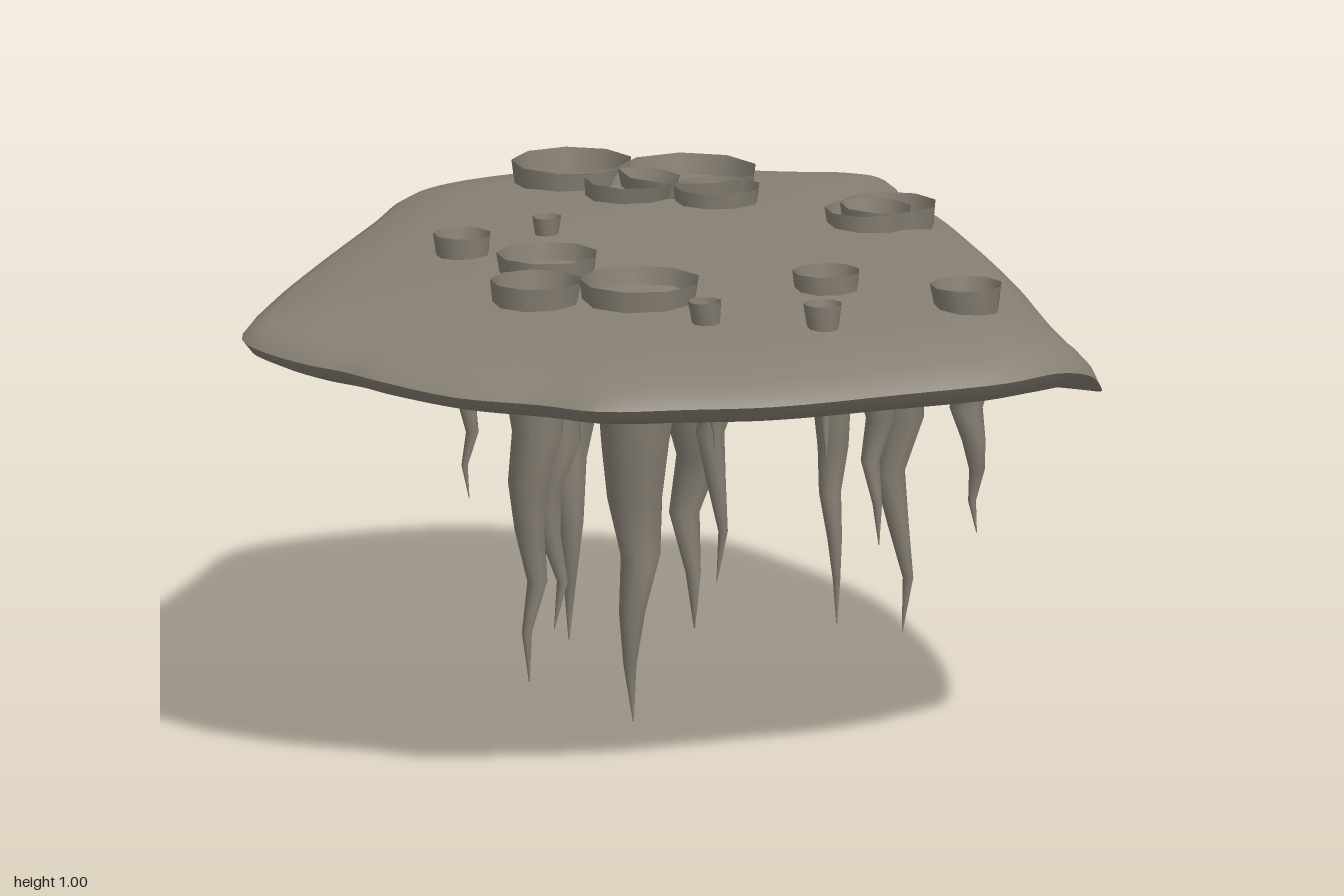
import * as THREE from 'three';

// Slab rim, clockwise from the back: x, z, height. The front left side is a low, sheared edge.
const RIM = [
  [0.2, -1, 0.87], [0.35, -1, 0.87], [0.61, -0.9, 0.87], [0.72, -0.82, 0.87], [0.78, -0.72, 0.87],
  [0.82, -0.62, 0.87], [0.9, -0.5, 0.87], [0.97, -0.41, 0.87], [0.985, -0.35, 0.86], [0.96, -0.2, 0.77],
  [0.9, 0, 0.71], [0.83, 0.15, 0.685], [0.7, 0.36, 0.685], [0.55, 0.58, 0.7], [0.4, 0.77, 0.74],
  [0.27, 0.91, 0.79], [0.18, 0.965, 0.84], [0.06, 0.99, 0.87], [-0.08, 0.975, 0.87], [-0.3, 0.89, 0.87],
  [-0.56, 0.78, 0.87], [-0.7, 0.67, 0.87], [-0.84, 0.55, 0.87], [-0.88, 0.42, 0.87], [-0.95, 0.25, 0.87],
  [-0.98, 0.05, 0.88], [-0.97, -0.05, 0.88], [-0.975, -0.15, 0.88], [-0.95, -0.3, 0.88], [-0.9, -0.4, 0.88],
  [-0.7, -0.53, 0.88], [-0.4, -0.69, 0.88], [0, -0.9, 0.87],
];

// Rings from rim to centre: scale, rise at a thin edge, rise over the sheared edge
const RINGS = [
  [1, 0, 0], [0.98, 0.27, 0.12], [0.94, 0.47, 0.32], [0.85, 0.68, 0.7], [0.78, 0.77, 0.87],
  [0.65, 0.88, 0.95], [0.35, 0.97, 0.99], [0, 1, 1],
];

// Stalactites: root x, root z, root radius, tip x, tip y, tip z
const SPIKES = [
  [0.35, -0.66, 0.125, 0.34, 0, -0.66], [0.32, -0.46, 0.1, 0.27, 0.48, -0.53],
  [0.46, -0.44, 0.145, 0.47, 0.04, -0.43], [0.39, -0.29, 0.09, 0.4, 0.17, -0.3],
  [-0.28, -0.37, 0.06, -0.28, 0.45, -0.35], [-0.05, -0.35, 0.03, -0.05, 0.77, -0.35],
  [-0.29, -0.12, 0.105, -0.29, 0.22, -0.1], [-0.48, 0.03, 0.095, -0.49, 0.16, 0.02],
  [-0.33, 0.18, 0.125, -0.35, 0.08, 0.18], [-0.38, 0.41, 0.035, -0.35, 0.68, 0.41],
  [-0.23, 0.6, 0.04, -0.23, 0.67, 0.61], [-0.01, 0.4, 0.07, 0, 0.26, 0.42],
  [0.1, 0.69, 0.075, 0.12, 0.48, 0.7], [0.46, 0.07, 0.09, 0.46, 0.3, 0.1],
  [0.52, 0.07, 0.1, 0.55, 0.1, 0.08],
];
const TAPER = [1, 0.86, 0.68, 0.56, 0.46, 0.33, 0.22, 0.11, 0.01];

// Joins equal loops of points into a smooth skin
function skin(loops, flip) {
  const n = loops[0].length, index = [];
  for (let r = 0; r < loops.length - 1; r++) {
    for (let i = 0; i < n; i++) {
      const a = r * n + i, b = r * n + (i + 1) % n, c = a + n, d = b + n;
      if (flip) index.push(a, b, c, b, d, c);
      else index.push(a, c, b, b, c, d);
    }
  }
  const geo = new THREE.BufferGeometry();
  geo.setAttribute('position', new THREE.Float32BufferAttribute(loops.flat(2), 3));
  geo.setIndex(index);
  geo.computeVertexNormals();
  return geo;
}

// Upper or lower face of the slab
function slabFace(rim, upper) {
  const loops = RINGS.map(([s, thin, sheared]) => rim.map((p) => {
    const w = THREE.MathUtils.clamp((0.87 - p.y) / 0.14, 0, 1);
    const x = p.x * s, z = p.z * s;
    const goal = upper ? 0.972 + 0.015 * x : 0.772 - 0.02 * x;
    const rise = THREE.MathUtils.lerp(thin, upper ? sheared : 1 - s, w);
    return [x, THREE.MathUtils.lerp(p.y, goal, rise), z];
  }));
  return skin(loops, !upper);
}

// Open-topped, slightly crooked tapering tube
function spike([x, z, r, tx, ty, tz], seed) {
  const top = 1.003, last = TAPER.length - 1;
  const loops = TAPER.map((k, j) => {
    const t = j / last;
    const sway = j > 2 && j < last ? 0.13 * r : 0;
    const cx = THREE.MathUtils.lerp(x, tx, t) + sway * Math.sin(seed * 2.3 + j * 1.9);
    const cz = THREE.MathUtils.lerp(z, tz, t) + sway * Math.cos(seed * 1.7 + j * 2.1);
    const y = THREE.MathUtils.lerp(top, ty, t);
    return Array.from({ length: 9 }, (_, i) => {
      const a = (i / 9) * Math.PI * 2;
      return [cx + Math.sin(a) * r * k, y, cz - Math.cos(a) * r * k];
    });
  });
  return skin(loops, true);
}

export function createModel() {
  const model = new THREE.Group();
  const stone = new THREE.MeshStandardMaterial({ color: 0x878074, side: THREE.DoubleSide });
  stone.name = 'grey stone';
  const add = (name, geo) => {
    const mesh = new THREE.Mesh(geo, stone);
    mesh.name = name;
    model.add(mesh);
  };

  // Rock slab
  const curve = new THREE.CatmullRomCurve3(RIM.map(([x, z, y]) => new THREE.Vector3(x, y, z)), true);
  const rim = curve.getPoints(132).slice(0, 132);
  add('slabTop', slabFace(rim, true));
  add('slabUnderside', slabFace(rim, false));

  // Hanging stalactites, their open roots showing just above the slab
  SPIKES.forEach((s, i) => add(`stalactite${i + 1}`, spike(s, i)));
  return model;
}
